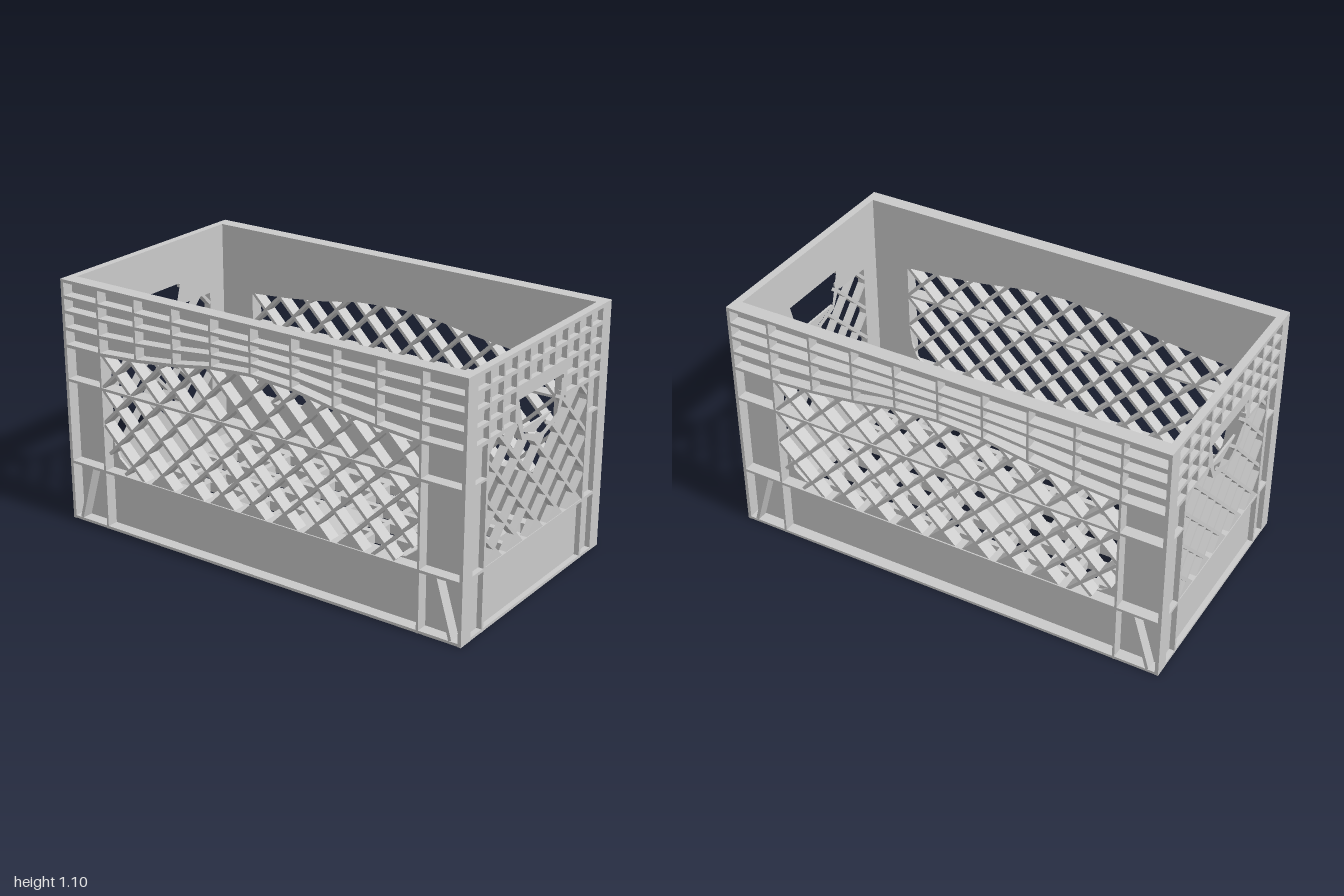
import * as THREE from 'three';

const plastic = new THREE.MeshStandardMaterial({ color: 0xcacaca });
plastic.name = 'grey plastic';

const PITCH = 0.16; // lattice spacing, shared by all walls
const NODE_Y = 0.65; // height of the lattice crossing at the wall centre

const toPath = (pts, Type = THREE.Shape) => new Type(pts.map(([x, y]) => new THREE.Vector2(x, y)));
const rect = (x0, y0, x1, y1) => [[x0, y0], [x1, y0], [x1, y1], [x0, y1]];
const mirrored = (half) => [...half, ...half.slice().reverse().map(([x, y]) => [-x, y])];

// Flat plate with holes, standing on its inner face at z = 0.
function plate(parent, name, pts, depth, holes = []) {
  const shape = toPath(pts);
  holes.forEach((h) => shape.holes.push(toPath(h, THREE.Path)));
  const geo = new THREE.ExtrudeGeometry(shape, { depth, bevelEnabled: false });
  const mesh = new THREE.Mesh(geo, plastic);
  mesh.name = name;
  parent.add(mesh);
  return mesh;
}

// Straight rib of full wall depth between two points.
function rib(parent, name, [x0, y0], [x1, y1], width, depth) {
  const len = Math.hypot(x1 - x0, y1 - y0);
  const mesh = new THREE.Mesh(new THREE.BoxGeometry(len, width, depth), plastic);
  mesh.position.set((x0 + x1) / 2, (y0 + y1) / 2, depth / 2);
  mesh.rotation.z = Math.atan2(y1 - y0, x1 - x0);
  mesh.name = name;
  parent.add(mesh);
}

// Diagonal bars clipped to an opening, with small gussets along its sill.
function lattice(parent, outline, sillHalf, width, depth) {
  for (const s of [1, -1]) {
    for (let k = -12; k <= 12; k++) {
      // signed height above the line y = NODE_Y + s * (x - k * PITCH)
      const above = ([x, y]) => y - NODE_Y - s * (x - (k + 0.0013) * PITCH);
      const hits = [];
      outline.forEach((a, i) => {
        const b = outline[(i + 1) % outline.length];
        const da = above(a), db = above(b);
        if (da * db < 0) {
          const t = da / (da - db);
          hits.push([a[0] + t * (b[0] - a[0]), a[1] + t * (b[1] - a[1])]);
        }
      });
      hits.sort((a, b) => a[0] - b[0]);
      for (let i = 0; i + 1 < hits.length; i += 2) rib(parent, 'latticeBar', hits[i], hits[i + 1], width, depth);
    }
  }
  const n = Math.floor(sillHalf / PITCH);
  for (let i = -n; i <= n; i++) {
    const x = i * PITCH;
    plate(parent, 'sillGusset', [[x - 0.072, 0.27], [x + 0.072, 0.27], [x, 0.325]], depth);
  }
}

// Long wall with arched ribs above a lattice window.
function longWall() {
  const g = new THREE.Group(), D = 0.064, T = 0.014;
  const arch = [1, 0.85, 0.45, 0.17, 0, 0];
  const edgeY = [1.093, 1.022, 0.957, 0.882, 0.805];
  const midY = [1.093, 1.024, 0.978, 0.934, 0.89];
  const ribY = (k, i) => edgeY[k] + (midY[k] - edgeY[k]) * arch[Math.abs(i)];
  const X = (i) => (Math.abs(i) === 5 ? Math.sign(i) * 0.99 : i * 0.2);

  // window outline: arched top, rounded lower corners
  const half = [[0.64, 0.27], [0.71, 0.285], [0.76, 0.325], [0.785, 0.39], [0.795, 0.48]];
  for (let i = 4; i >= 1; i--) half.push([i === 4 ? 0.795 : X(i), ribY(4, i)]);
  half.push([0.001, ribY(4, 0)]);
  const opening = mirrored(half);
  plate(g, 'longPanel', rect(-0.99, 0, 0.99, 1.1), 0.012, [opening]);
  lattice(g, opening, 0.6, T, D - 0.006);

  // arched horizontal ribs
  for (let k = 0; k < 5; k++) {
    const low = [], high = [];
    for (let i = -5; i <= 5; i++) {
      low.push([X(i), ribY(k, i) - T / 2]);
      high.unshift([X(i), ribY(k, i) + T / 2]);
    }
    plate(g, 'archRib', [...low, ...high], D);
  }
  for (let i = -4; i <= 4; i++) rib(g, 'uprightRib', [X(i), ribY(4, i)], [X(i), 1.1], 0.01, D);

  // lower frame
  for (const y of [0.0075, 0.27, 0.65]) rib(g, 'crossRib', [-0.99, y], [0.99, y], 0.012, D);
  for (const s of [-1, 1]) {
    rib(g, 'postRib', [s * 0.8, 0], [s * 0.8, 0.81], 0.01, D);
    rib(g, 'footGusset', [s * 0.95, 0.015], [s * 0.875, 0.27], 0.014, D);
    rib(g, 'cornerPlate', [s * 0.9925, 0], [s * 0.9925, 1.1], 0.015, D);
  }
  return g;
}

// Short wall with a ribbed rim, hand hole and lattice window.
function shortWall() {
  const g = new THREE.Group(), D = 0.035, T = 0.017, W = 0.49;
  const grip = [[0.18, 0.8], [0.14, 0.72], [0.04, 0.685]];
  const opening = mirrored([[0.385, 0.27], [0.385, 0.8], ...grip]);
  const cut = mirrored([[0.385, 0.27], [0.385, 0.8], [0.2, 0.8], [0.2, 0.95]]);
  plate(g, 'shortPanel', rect(-W, 0, W, 1.1), 0.012, [cut]);
  lattice(g, opening, 0.385, 0.015, D - 0.003);

  // hand hole surround and its lower lip
  const hole = mirrored([[0.175, 0.897], [0.13, 0.745], [0.02, 0.705]]);
  plate(g, 'handleSurround', mirrored([[0.2, 0.95], [0.2, 0.8], ...grip]), D, [hole]);
  plate(g, 'handleLip', [[0.13, 0.745], [-0.13, 0.745], [0, 0.7]], 0.01);

  // rim grid, interrupted by the hand hole
  for (const y of [1.0915, 1.021, 0.947]) rib(g, 'rimRib', [-W, y], [W, y], T, D);
  for (let k = 0; k <= 10; k++) {
    const x = (k - 5) * 0.097;
    rib(g, 'rimUpright', [x, Math.abs(x) < 0.2 ? 0.95 : 0.8], [x, 1.1], 0.012, D);
  }
  for (const s of [-1, 1]) {
    for (const y of [0.875, 0.803]) rib(g, 'rimRib', [s * 0.195, y], [s * W, y], T, D);
    for (const y of [0.65, 0.27]) rib(g, 'postCrossRib', [s * 0.39, y], [s * W, y], 0.01, D);
    for (const x of [0.392, 0.487]) rib(g, 'postRib', [s * x, 0], [s * x, 0.81], 0.014, D);
  }
  for (const y of [0.0075, 0.27]) rib(g, 'crossRib', [-W, y], [W, y], 0.013, D);
  return g;
}

// Floor with a grid of square holes around a solid centre.
function floor() {
  const holes = [], P = 0.1125, h = 0.042;
  for (let i = -7.5; i <= 7.5; i++) {
    for (let j = -3.5; j <= 3.5; j++) {
      if (Math.abs(i) < 1 && Math.abs(j) < 1) continue;
      holes.push(rect(i * P - h, j * P - h, i * P + h, j * P + h));
    }
  }
  const g = new THREE.Group();
  const mesh = plate(g, 'floorGrid', rect(-0.97, -0.49, 0.97, 0.49), 0.045, holes);
  mesh.rotation.x = -Math.PI / 2;
  mesh.position.y = 0.015;
  return g;
}

export function createModel() {
  const crate = new THREE.Group();
  crate.name = 'crate';
  const walls = [
    ['frontWall', longWall, 0, 0.485], ['backWall', longWall, Math.PI, 0.485],
    ['leftWall', shortWall, Math.PI / 2, 0.965], ['rightWall', shortWall, -Math.PI / 2, 0.965],
  ];
  for (const [name, build, turn, dist] of walls) {
    const wall = build();
    wall.name = name;
    wall.rotation.y = turn;
    wall.position.set(Math.sin(turn) * dist, 0, Math.cos(turn) * dist);
    crate.add(wall);
  }
  const base = floor();
  base.name = 'floor';
  crate.add(base);
  return crate;
}
